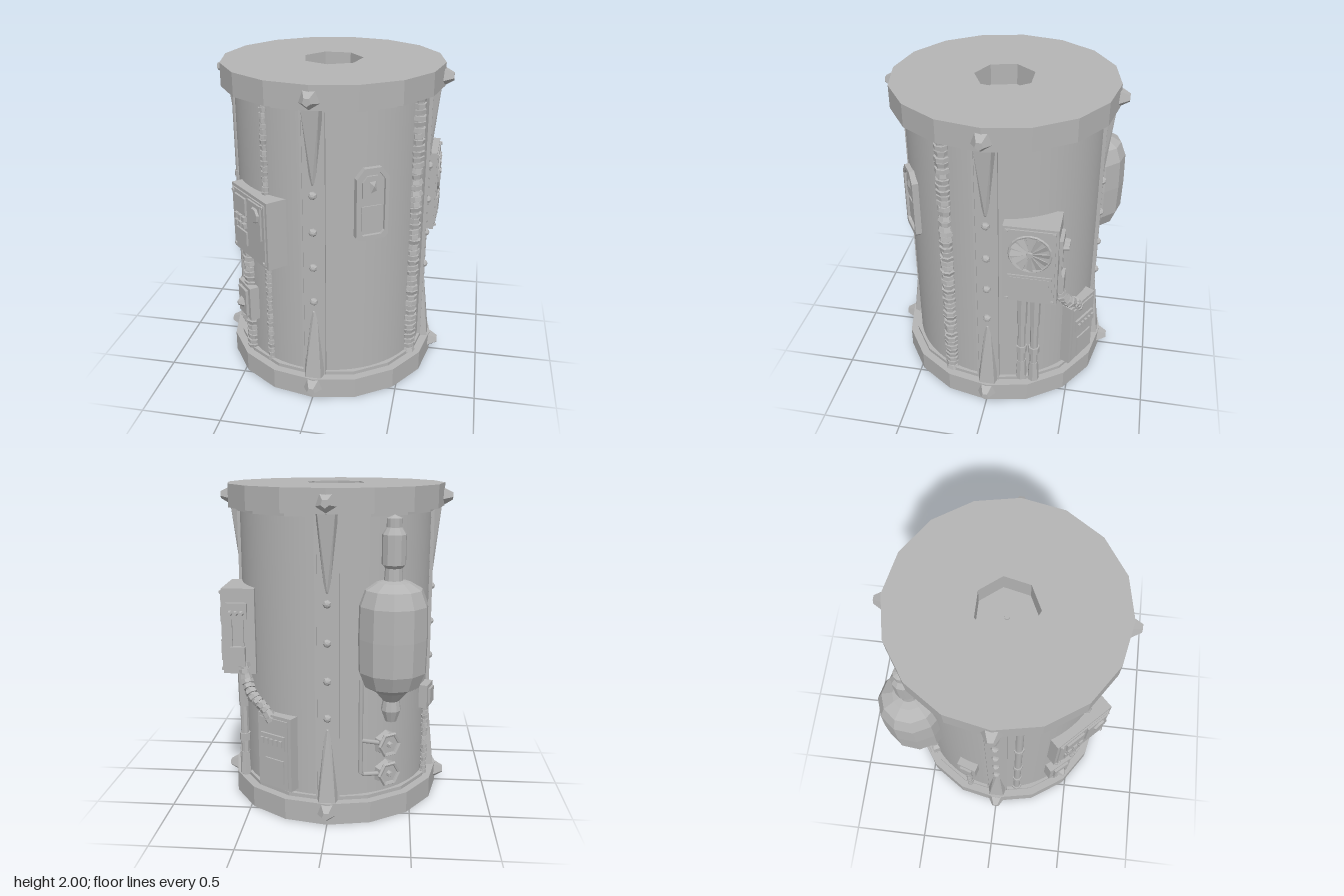
import * as THREE from 'three';
import { mergeGeometries } from 'three/addons/utils/BufferGeometryUtils.js';
import { ConvexGeometry } from 'three/addons/geometries/ConvexGeometry.js';

const metal = new THREE.MeshStandardMaterial({ color: 0xb4b4b4 });
metal.name = 'grey metal';

let seed = 7;
const rnd = () => (seed = (seed * 16807) % 2147483647) / 2147483647;
const v = (x, y, z) => new THREE.Vector3(x, y, z);

// Faceted normals
function flat(geo) {
  const g = geo.index ? geo.toNonIndexed() : geo;
  g.computeVertexNormals();
  return g;
}

function add(parent, name, geo, x = 0, y = 0, z = 0, rx = 0, ry = 0, rz = 0) {
  const m = new THREE.Mesh(geo, metal);
  m.name = name;
  m.position.set(x, y, z);
  m.rotation.set(rx, ry, rz);
  parent.add(m);
  return m;
}
const box = (w, h, d) => new THREE.BoxGeometry(w, h, d);
const cyl = (r1, r2, h, n) => flat(new THREE.CylinderGeometry(r1, r2, h, n));

// Group turned about the axis: local z points outward, local x runs along the wall
function sector(root, name, degrees) {
  const g = new THREE.Group();
  g.name = name;
  g.rotation.y = THREE.MathUtils.degToRad(degrees);
  root.add(g);
  return g;
}

// Rough ribbed hose made of uneven rings along a path
function hose(points, r, pitch) {
  const curve = new THREE.CatmullRomCurve3(points);
  const n = Math.round(curve.getLength() / pitch);
  const parts = [flat(new THREE.TubeGeometry(curve, 12, r * 0.75, 6))];
  const q = new THREE.Quaternion();
  for (let i = 0; i < n; i++) {
    const t = (i + 0.5) / n;
    const ring = new THREE.CylinderGeometry(r * (0.85 + rnd() * 0.25), r * (0.85 + rnd() * 0.25), pitch * 0.72, 7);
    ring.rotateY(rnd() * 6);
    ring.rotateZ((rnd() - 0.5) * 0.25);
    ring.applyQuaternion(q.setFromUnitVectors(v(0, 1, 0), curve.getTangentAt(t)));
    const p = curve.getPointAt(t);
    ring.translate(p.x, p.y, p.z);
    parts.push(flat(ring));
  }
  return mergeGeometries(parts);
}

function polygon(n, r, T = THREE.Shape, turn = 0) {
  const s = new T();
  for (let i = 0; i < n; i++) {
    const a = (i / n) * Math.PI * 2 + turn;
    s[i ? 'lineTo' : 'moveTo'](r * Math.cos(a), r * Math.sin(a));
  }
  s.closePath();
  return s;
}

function arch(w, h, T = THREE.Shape) {
  const s = new T(), a = w / 2, b = h / 2, c = w * 0.3;
  s.moveTo(-a, -b + 0.02).lineTo(-a + 0.02, -b).lineTo(a - 0.02, -b).lineTo(a, -b + 0.02);
  s.lineTo(a, b - c).lineTo(a - c * 0.8, b).lineTo(-a + c * 0.8, b).lineTo(-a, b - c).closePath();
  return s;
}
const extrude = (s, depth) => new THREE.ExtrudeGeometry(s, { depth, bevelEnabled: false });

// Bolts on the corners of a plate
function cornerBolts(g, cx, cy, z, w, h) {
  for (const sx of [-1, 1]) for (const sy of [-1, 1])
    add(g, 'cornerBolt', cyl(0.01, 0.012, 0.016, 6), cx + sx * w, cy + sy * h, z, Math.PI / 2);
}

export function createModel() {
  const root = new THREE.Group();
  root.name = 'cylinderModule';

  // Core and end rims
  add(root, 'body', new THREE.CylinderGeometry(0.6, 0.6, 1.8, 64), 0, 0.97, 0);
  add(root, 'bottomRim', extrude(polygon(16, 0.68), 0.135), 0, 0, 0, -Math.PI / 2);
  const top = polygon(16, 0.68);
  top.holes.push(polygon(7, 0.185, THREE.Path, -Math.PI / 2));
  add(root, 'topRim', extrude(top, 0.14), 0, 1.86, 0, -Math.PI / 2);
  add(root, 'socketPin', new THREE.CylinderGeometry(0.016, 0.016, 0.012, 12), 0, 1.875, 0);
  for (const y of [0.145, 1.852]) add(root, 'rimLip', cyl(0.63, 0.63, 0.025, 16), 0, y, 0);

  // Four ribs with bolts, end brackets and rim studs
  for (let k = 0; k < 4; k++) {
    const g = sector(root, 'rib', k * 90);
    add(g, 'ribPlate', box(0.14, 1.74, 0.04), 0, 1, 0.59);
    for (const s of [-1, 1]) add(g, 'ribEdge', box(0.012, 1.74, 0.02), s * 0.066, 1, 0.607);
    for (let i = 0; i < 4; i++)
      add(g, 'ribBolt', flat(new THREE.SphereGeometry(0.026, 7, 5)), 0, 0.66 + i * 0.23, 0.612, Math.PI / 2);
    for (const s of [-1, 1]) {
      const Y = (y) => 1 + s * (y - 1);
      add(g, 'bracket', new ConvexGeometry([
        v(-0.068, Y(1.87), 0.6), v(0.068, Y(1.87), 0.6), v(-0.05, Y(1.87), 0.662), v(0.05, Y(1.87), 0.662),
        v(-0.016, Y(1.4), 0.6), v(0.016, Y(1.4), 0.6), v(0, Y(1.42), 0.618),
      ]));
      add(g, 'rimStud', cyl(0.025, 0.075, 0.085, 5), 0, Y(1.92), 0.688, Math.PI / 2, 0, 0);
    }
  }

  // Full height hoses
  const hoseAt = (name, x, z, y0, y1, r, pitch) =>
    add(root, name, hose([v(x, y0, z), v(x, (y0 + y1) / 2, z), v(x, y1, z)], r, pitch));
  hoseAt('rightHose', 0.55, 0.25, 0.14, 1.86, 0.045, 0.036);
  hoseAt('thinFrontHose', -0.3, 0.52, 0.14, 1.86, 0.024, 0.032);
  hoseAt('leftFrontHose', -0.455, 0.4, 0.14, 0.9, 0.045, 0.036);
  hoseAt('thinLeftHose', -0.59, -0.2, 0.14, 0.64, 0.022, 0.03);

  // Collared pipe beside the left rib
  add(root, 'leftPipe', new THREE.CylinderGeometry(0.024, 0.024, 1.72, 10), -0.58, 1, 0.14);
  for (const y of [0.2, 0.49, 0.82, 1.27, 1.8]) add(root, 'pipeCollar', cyl(0.033, 0.033, 0.04, 8), -0.58, y, 0.14);

  // Arched door panel
  const door = sector(root, 'doorPanel', 32);
  const frame = arch(0.2, 0.44);
  frame.holes.push(arch(0.155, 0.385, THREE.Path));
  add(door, 'doorFrame', extrude(frame, 0.06), 0, 1.29, 0.57);
  add(door, 'doorLeaf', extrude(arch(0.17, 0.4), 0.04), 0, 1.29, 0.57);
  add(door, 'doorWindow', extrude(arch(0.12, 0.15), 0.02), 0, 1.385, 0.602);
  add(door, 'doorGem', new ConvexGeometry([v(-0.035, 1.44, 0.615), v(0.03, 1.445, 0.615), v(0.04, 1.35, 0.615),
    v(-0.02, 1.33, 0.615), v(0.005, 1.4, 0.634)]));
  add(door, 'doorLower', box(0.125, 0.15, 0.02), 0, 1.2, 0.607);

  // Control cabinet on the front left
  const cab = sector(root, 'controlCabinet', -45);
  add(cab, 'cabinetBox', box(0.42, 0.43, 0.17), 0.08, 1.085, 0.57);
  add(cab, 'cabinetDoor', box(0.38, 0.39, 0.012), 0.08, 1.085, 0.658);
  cornerBolts(cab, 0.08, 1.085, 0.665, 0.175, 0.18);
  add(cab, 'cabinetScreen', box(0.13, 0.11, 0.02), 0, 1.2, 0.668);
  add(cab, 'cabinetGauge', box(0.15, 0.22, 0.016), 0.17, 1.16, 0.668);
  add(cab, 'gaugeDial', cyl(0.045, 0.055, 0.02, 7), 0.19, 1.2, 0.68, Math.PI / 2);
  add(cab, 'cabinetLower', box(0.13, 0.09, 0.016), 0, 0.99, 0.668);
  for (let i = 0; i < 3; i++) for (let j = 0; j < 2; j++)
    add(cab, 'key', box(0.03, 0.03, 0.03), -0.045 + i * 0.045, 1.075 + j * 0.045, 0.672);

  // Junction box on the left front hose
  const junction = sector(root, 'junctionBox', -49);
  add(junction, 'junctionCase', box(0.17, 0.23, 0.09), 0, 0.51, 0.61);
  add(junction, 'junctionCover', box(0.11, 0.18, 0.02), 0, 0.51, 0.662);
  add(junction, 'junctionKnob', cyl(0.012, 0.045, 0.04, 5), 0, 0.5, 0.685, Math.PI / 2);

  // Small box on the left
  const small = sector(root, 'smallBox', -108);
  add(small, 'smallCase', box(0.13, 0.15, 0.08), 0, 0.685, 0.61);
  add(small, 'smallCover', box(0.08, 0.1, 0.02), 0, 0.685, 0.655);

  // Fan unit on the right
  const ac = sector(root, 'fanUnit', 90);
  const cx = 0.265;
  add(ac, 'fanCase', box(0.32, 0.53, 0.2), cx, 1.13, 0.555);
  add(ac, 'fanFace', box(0.29, 0.5, 0.012), cx, 1.13, 0.658);
  cornerBolts(ac, cx, 1.13, 0.664, 0.135, 0.24);
  add(ac, 'fanRing', flat(new THREE.TorusGeometry(0.12, 0.009, 5, 20)), cx, 1.225, 0.665);
  for (let i = 0; i < 12; i++) {
    const a = (i / 12) * Math.PI * 2;
    const blade = box(0.095, 0.042, 0.004);
    const p = blade.attributes.position;
    for (let k = 0; k < p.count; k++) if (p.getX(k) < 0) p.setY(k, p.getY(k) * 0.25);
    blade.rotateX(0.35);
    blade.translate(0.067, 0, 0);
    add(ac, 'fanBlade', flat(blade), cx, 1.225, 0.669, 0, 0, a);
  }
  add(ac, 'fanHub', cyl(0.018, 0.022, 0.02, 8), cx, 1.225, 0.672, Math.PI / 2);
  add(ac, 'vent', box(0.26, 0.13, 0.014), cx, 1.005, 0.665);
  add(ac, 'ventPanel', box(0.23, 0.1, 0.012), cx, 1.005, 0.669);
  // Controls on the side of the fan unit
  add(ac, 'sidePanel', box(0.025, 0.1, 0.13), 0.435, 1.26, 0.565);
  for (const z of [0.53, 0.565, 0.6]) add(ac, 'sideKnob', cyl(0.012, 0.018, 0.04, 6), 0.46, 1.25, z, 0, 0, -Math.PI / 2);
  for (const z of [0.53, 0.6]) add(ac, 'sideRod', box(0.015, 0.2, 0.015), 0.435, 1.12, z);
  add(ac, 'sideSocket', box(0.04, 0.12, 0.09), 0.44, 0.98, 0.56);

  // Twin pipes under the fan unit
  for (const x of [0.21, 0.29]) {
    const z = 0.565;
    add(ac, 'dropPipe', cyl(0.026, 0.026, 0.75, 8), x, 0.5, z);
    add(ac, 'upperSleeve', cyl(0.036, 0.032, 0.26, 7), x, 0.74, z);
    add(ac, 'pipeJoint', cyl(0.036, 0.036, 0.05, 7), x, 0.4, z);
    add(ac, 'lowerSleeve', cyl(0.03, 0.038, 0.15, 7), x, 0.22, z);
  }

  // Flexible hose to the meter box
  add(root, 'linkHose', hose([v(0.53, 0.94, -0.42), v(0.51, 0.83, -0.44), v(0.46, 0.74, -0.49),
    v(0.39, 0.68, -0.52), v(0.34, 0.6, -0.54)], 0.037, 0.034));
  const meter = sector(root, 'meterBox', 150);
  add(meter, 'meterCase', box(0.25, 0.47, 0.12), 0, 0.415, 0.595);
  add(meter, 'meterFace', box(0.21, 0.43, 0.012), 0, 0.415, 0.658);
  add(meter, 'meterStrip', box(0.18, 0.09, 0.02), 0, 0.49, 0.668);
  for (let i = 0; i < 5; i++) add(meter, 'meterSwitch', box(0.02, 0.04, 0.025), -0.07 + i * 0.035, 0.49, 0.68);
  add(meter, 'meterHatch', box(0.14, 0.15, 0.014), 0.01, 0.3, 0.667);

  // Gas tank with neck and nozzle
  const tank = sector(root, 'gasTank', 215);
  const profile = [[0, 0.62], [0.035, 0.63], [0.06, 0.7], [0.05, 0.76], [0.1, 0.82], [0.17, 0.86], [0.205, 0.95],
    [0.21, 1.15], [0.205, 1.34], [0.17, 1.43], [0.1, 1.47], [0.055, 1.48], [0.05, 1.55], [0.07, 1.57],
    [0.07, 1.74], [0.045, 1.78], [0.045, 1.83], [0, 1.85]].map((p) => new THREE.Vector2(...p));
  add(tank, 'tankShell', flat(new THREE.LatheGeometry(profile, 11)), 0, 0, 0.65);

  // Supply pipe and two valves below the tank
  const line = new THREE.CurvePath();
  const pts = [v(-0.18, 0.9, 0.6), v(-0.18, 0.3, 0.6), v(0, 0.28, 0.63)];
  for (let i = 0; i < 2; i++) line.add(new THREE.LineCurve3(pts[i], pts[i + 1]));
  add(tank, 'supplyPipe', new THREE.TubeGeometry(line, 24, 0.014, 7));
  add(tank, 'branchPipe', new THREE.TubeGeometry(new THREE.LineCurve3(v(-0.18, 0.52, 0.6), v(0, 0.47, 0.63)), 2, 0.014, 7));
  for (const y of [0.47, 0.28]) {
    add(tank, 'valveBody', cyl(0.075, 0.085, 0.05, 6), 0, y, 0.615, Math.PI / 2);
    add(tank, 'valveRing', flat(new THREE.TorusGeometry(0.07, 0.013, 5, 6)), 0, y, 0.645);
    add(tank, 'valveHub', cyl(0.015, 0.022, 0.03, 6), 0, y, 0.65, Math.PI / 2);
  }
  return root;
}
